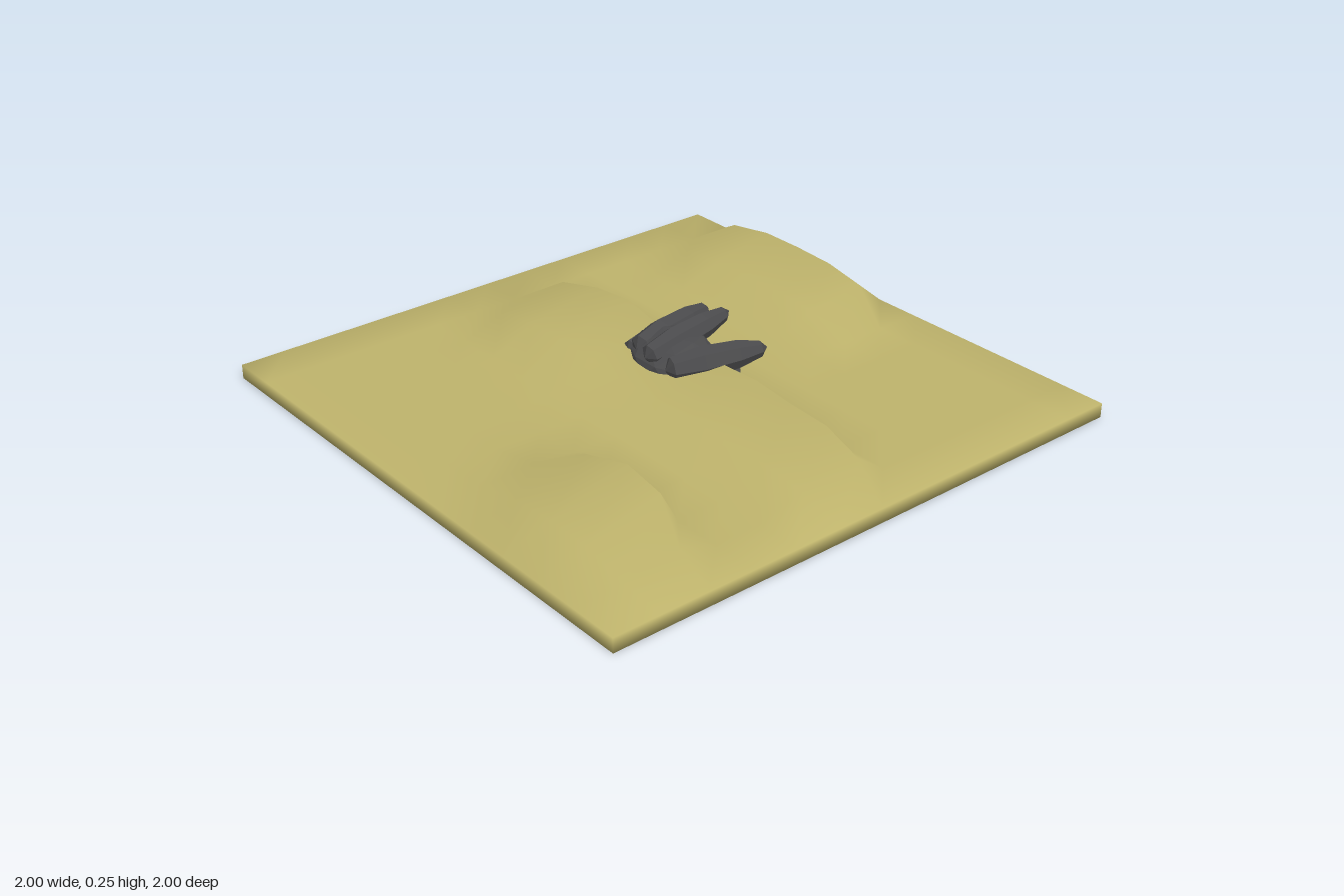
import * as THREE from 'three';
import { mergeVertices } from 'three/addons/utils/BufferGeometryUtils.js';

const CELLS = 12, STEP = 2 / CELLS, BASE = 0.05;

// Each dune: crest column, windward columns (offset, share of height),
// and crest heights for the grid rows starting at a given row (row 0 is z = -1)
const DUNES = [
  { col: 2, wind: [[1, 0.42]], row: 7, heights: [0.02, 0.1, 0.13, 0.115, 0.04] },
  { col: 6, wind: [[1, 0.62]], row: 2,
    heights: [0.1, 0.13, 0.14, 0.12, 0.11, 0.11, 0.115, 0.105, 0.1, 0.07] },
  { col: 11, wind: [[1, 0.6]], row: 2, heights: [0.095, 0.115, 0.115, 0.11, 0.09] },
];

function duneHeight(col, row) {
  for (const d of DUNES) {
    const h = d.heights[row - d.row] ?? 0;
    if (col === d.col) return { h, crest: true };
    for (const [offset, share] of d.wind) {
      if (col === d.col - offset) return { h: h * share, crest: false };
    }
  }
  return { h: 0, crest: false };
}

// Sand slab whose top is raised into dunes leaning towards +x
function sandGround(material) {
  let geo = new THREE.BoxGeometry(2, BASE, 2, CELLS, 1, CELLS);
  geo.translate(0, BASE / 2, 0);
  geo.deleteAttribute('normal');
  geo.deleteAttribute('uv');
  geo = mergeVertices(geo);
  const p = geo.attributes.position;
  for (let i = 0; i < p.count; i++) {
    if (p.getY(i) < BASE / 2) continue;
    const col = Math.round((p.getX(i) + 1) / STEP);
    const row = Math.round((p.getZ(i) + 1) / STEP);
    const { h, crest } = duneHeight(col, row);
    p.setY(i, BASE + h);
    if (crest) p.setX(i, p.getX(i) + h * (col === 11 ? 0.65 : 0.9));
  }
  geo.computeVertexNormals();
  const mesh = new THREE.Mesh(geo, material);
  mesh.name = 'sandGround';
  return mesh;
}

// Faceted finger of rock running from a to b
function rockShard(a, b, width, height, material) {
  const from = new THREE.Vector3(...a), to = new THREE.Vector3(...b);
  const length = from.distanceTo(to);
  const profile = [[0, 0], [0.75, 0.06], [1, 0.35], [0.85, 0.7], [0.5, 0.93], [0, 1]]
    .map(([r, t]) => new THREE.Vector2(r, t * length));
  const geo = new THREE.LatheGeometry(profile, 7);
  geo.scale(height, 1, width);
  geo.rotateZ(-Math.PI / 2);
  const mesh = new THREE.Mesh(geo, material);
  const dir = to.clone().sub(from).normalize();
  const side = new THREE.Vector3().crossVectors(dir, new THREE.Vector3(0, 1, 0)).normalize();
  const up = new THREE.Vector3().crossVectors(side, dir);
  mesh.quaternion.setFromRotationMatrix(new THREE.Matrix4().makeBasis(dir, up, side));
  mesh.position.copy(from);
  mesh.name = 'rockShard';
  return mesh;
}

// Rock outcrop: a lump with shards fanning out to +x
function rockOutcrop(material) {
  const group = new THREE.Group();
  group.name = 'rockOutcrop';
  const lump = new THREE.Mesh(new THREE.IcosahedronGeometry(1, 1), material);
  lump.scale.set(0.13, 0.075, 0.165);
  lump.rotation.z = 0.25;
  lump.position.set(0.04, 0.14, -0.01);
  lump.name = 'rockLump';
  group.add(lump);
  const shards = [
    [[-0.08, 0.17, 0], [0.28, 0.23, 0], 0.05, 0.05],
    [[-0.05, 0.16, -0.08], [0.31, 0.18, -0.14], 0.055, 0.055],
    [[-0.05, 0.13, -0.13], [0.26, 0.15, -0.15], 0.045, 0.05],
    [[-0.06, 0.15, 0.08], [0.28, 0.17, 0.19], 0.055, 0.055],
    [[-0.02, 0.11, 0.13], [0.2, 0.1, 0.15], 0.045, 0.05],
    [[0, 0.11, 0], [0.4, 0.05, 0], 0.065, 0.035],
  ];
  for (const s of shards) group.add(rockShard(...s, material));
  return group;
}

export function createModel() {
  const sand = new THREE.MeshStandardMaterial({ color: 0xbdb26b });
  const rock = new THREE.MeshStandardMaterial({ color: 0x4a4a4c, flatShading: true });
  const model = new THREE.Group();
  model.name = 'desertTile';
  model.add(sandGround(sand), rockOutcrop(rock));
  return model;
}
